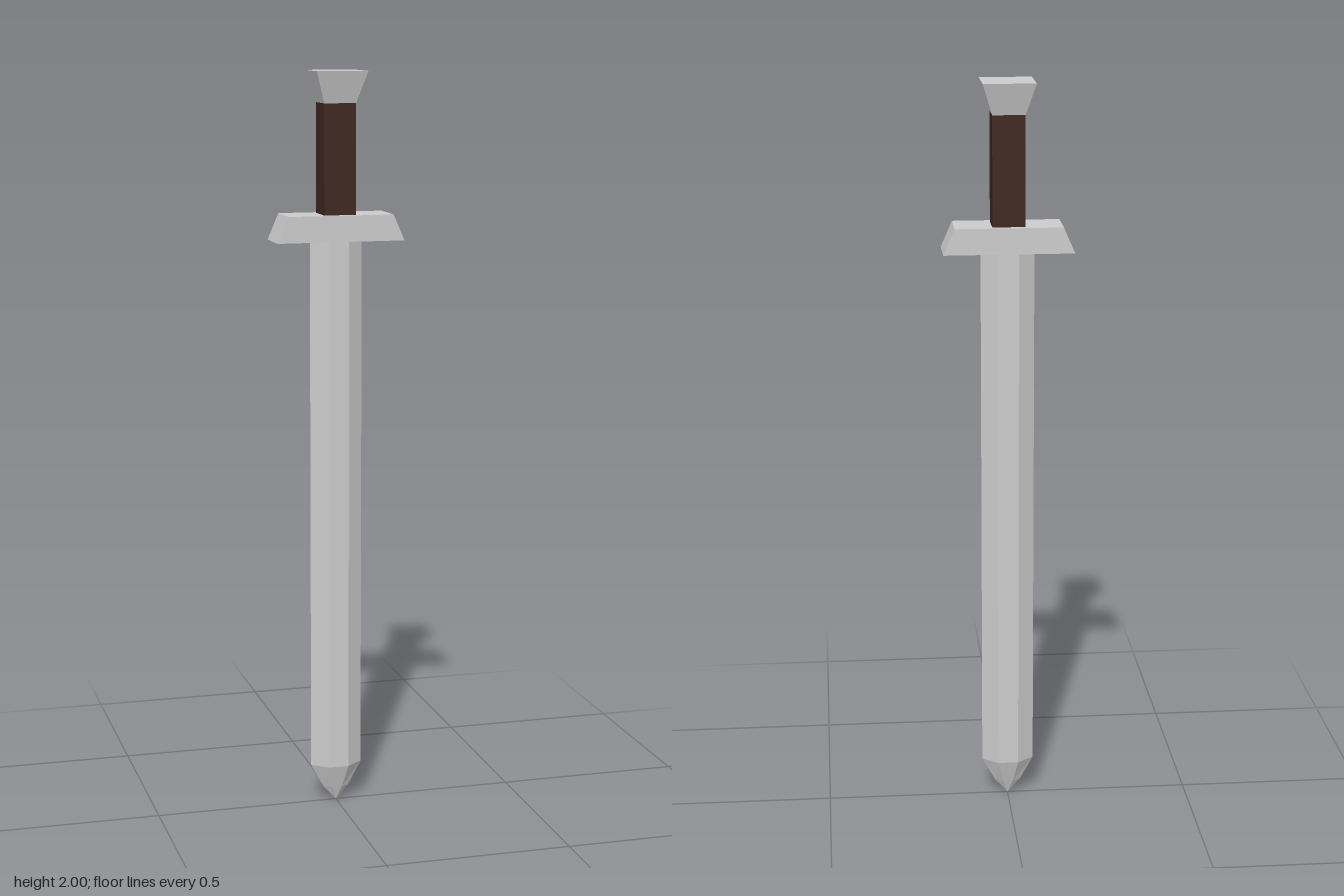
import * as THREE from 'three';

// Lofts scaled copies of a closed [x, z] outline; levels are [y, xScale, zScale], bottom to top.
function loft(outline, levels) {
  const rings = levels.map(([y, sx, sz]) => outline.map(([x, z]) => [x * sx, y, z * sz]));
  const n = outline.length;
  const pos = [];
  const tri = (a, b, c) => pos.push(...a, ...b, ...c);
  for (let r = 0; r < rings.length - 1; r++) {
    const lo = rings[r], hi = rings[r + 1];
    for (let i = 0; i < n; i++) {
      const j = (i + 1) % n;
      if (levels[r][1] > 0) tri(lo[i], lo[j], hi[j]);
      tri(lo[i], hi[j], hi[i]);
    }
  }
  // End caps
  const bottom = rings[0], top = rings[rings.length - 1];
  for (let i = 1; i < n - 1; i++) {
    if (levels[0][1] > 0) tri(bottom[0], bottom[i + 1], bottom[i]);
    tri(top[0], top[i], top[i + 1]);
  }
  const geometry = new THREE.BufferGeometry();
  geometry.setAttribute('position', new THREE.Float32BufferAttribute(pos, 3));
  geometry.computeVertexNormals();
  return geometry;
}

export function createModel() {
  const group = new THREE.Group();
  const steel = new THREE.MeshStandardMaterial({ color: 0xcccccc, flatShading: true });
  const leather = new THREE.MeshStandardMaterial({ color: 0x3e261f, flatShading: true });
  const add = (name, geometry, material) => {
    const mesh = new THREE.Mesh(geometry, material);
    mesh.name = name;
    group.add(mesh);
  };

  const square = [[1, 1], [1, -1], [-1, -1], [-1, 1]];
  const hexagon = [[0.071, 0], [0.027, -0.034], [-0.027, -0.034], [-0.071, 0], [-0.027, 0.034], [0.027, 0.034]];

  // Bevelled blade, pointing down, with a two-step tip
  add('blade', loft(hexagon, [[0, 0, 0], [0.04, 0.5, 0.4], [0.105, 1, 1], [1.56, 1, 1]]), steel);
  // Crossguard with slanted ends
  add('crossguard', loft(square, [[1.558, 0.172, 0.058], [1.627, 0.142, 0.058]]), steel);
  // Square grip
  add('grip', loft(square, [[1.627, 0.043, 0.043], [1.917, 0.043, 0.043]]), leather);
  // Flared pommel
  add('pommel', loft(square, [[1.917, 0.043, 0.043], [2, 0.069, 0.069]]), steel);

  return group;
}
